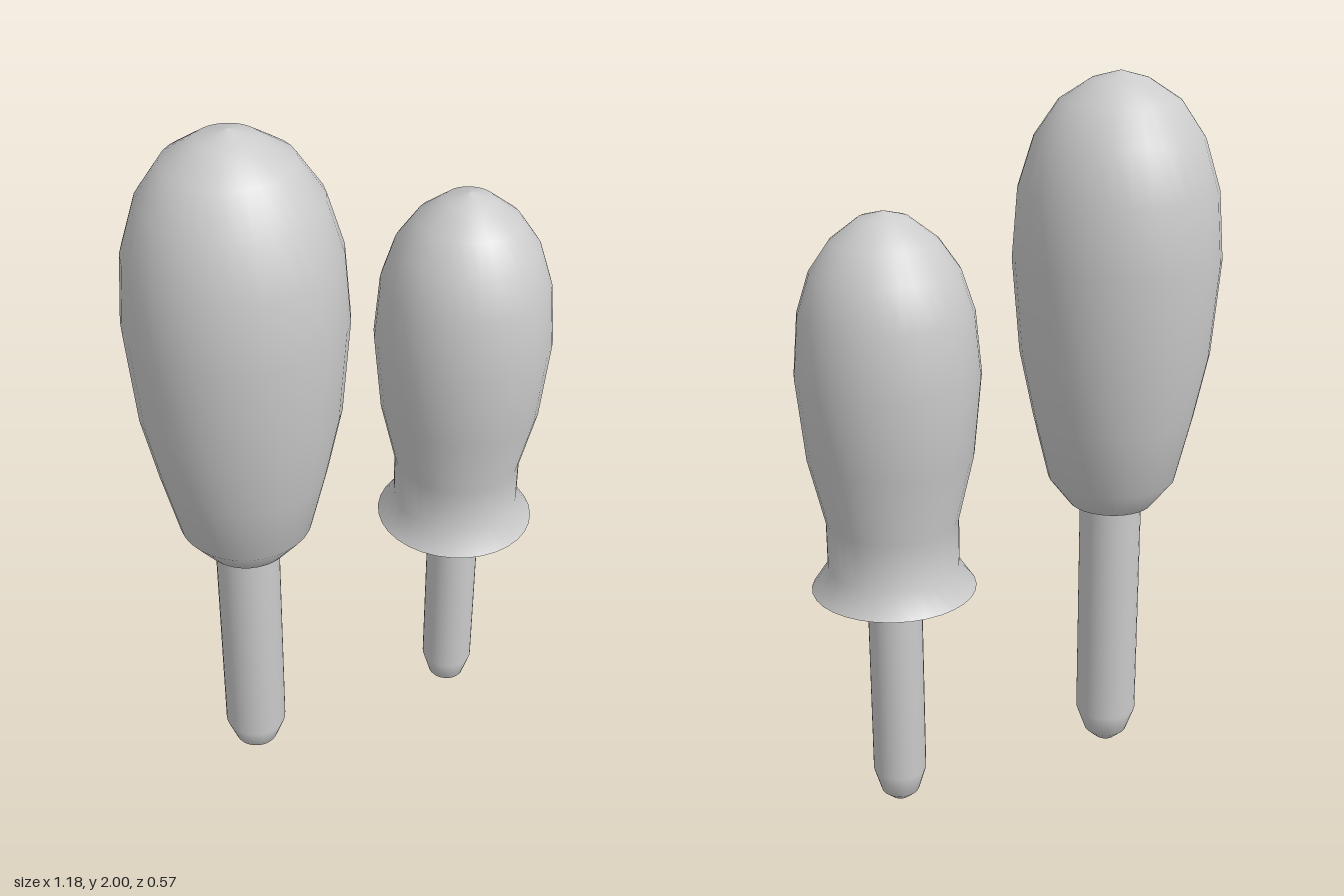
import * as THREE from 'three';

const SIDES = 32;
const material = new THREE.MeshStandardMaterial({ color: 0xcccccc, side: THREE.DoubleSide });

// Smooth turned surface; the profile runs from bottom to top as [radius, height]
function turned(name, profile) {
  const points = profile.map(([r, y]) => new THREE.Vector2(r, y));
  const mesh = new THREE.Mesh(new THREE.LatheGeometry(points, SIDES), material);
  mesh.name = name;
  return mesh;
}

// One peg: a bulbous head with a flat underside on a round-tipped stem
function peg(name, x, z, head, stemRadius, tip) {
  const group = new THREE.Group();
  group.name = name;
  const [rim, base] = head[0];
  group.add(
    turned('head', head),
    turned('headUnderside', [[0, base], [rim, base]]),
    turned('stem', [...tip, [stemRadius, base + 0.01]])
  );
  group.position.set(x, 0, z);
  group.scale.z = 1.02;
  return group;
}

export function createModel() {
  const model = new THREE.Group();
  model.name = 'pegPair';

  // Tall peg with a tapered, chamfered head
  model.add(peg('tallPeg', -0.312, 0, [
    [0.118, 0.803], [0.178, 0.88], [0.222, 1.065], [0.26, 1.25], [0.281, 1.51],
    [0.267, 1.695], [0.225, 1.83], [0.16, 1.925], [0.075, 1.98], [0, 2]
  ], 0.087, [[0, 0.03], [0.03, 0.035], [0.062, 0.065], [0.087, 0.135]]));

  // Short peg with a waisted head and flared skirt
  model.add(peg('shortPeg', 0.349, 0.01, [
    [0.222, 0.668], [0.177, 0.735], [0.177, 0.865], [0.22, 1.05], [0.241, 1.27],
    [0.226, 1.435], [0.192, 1.54], [0.138, 1.618], [0.064, 1.675], [0, 1.692]
  ], 0.074, [[0, 0], [0.026, 0.006], [0.053, 0.03], [0.074, 0.1]]));

  return model;
}
